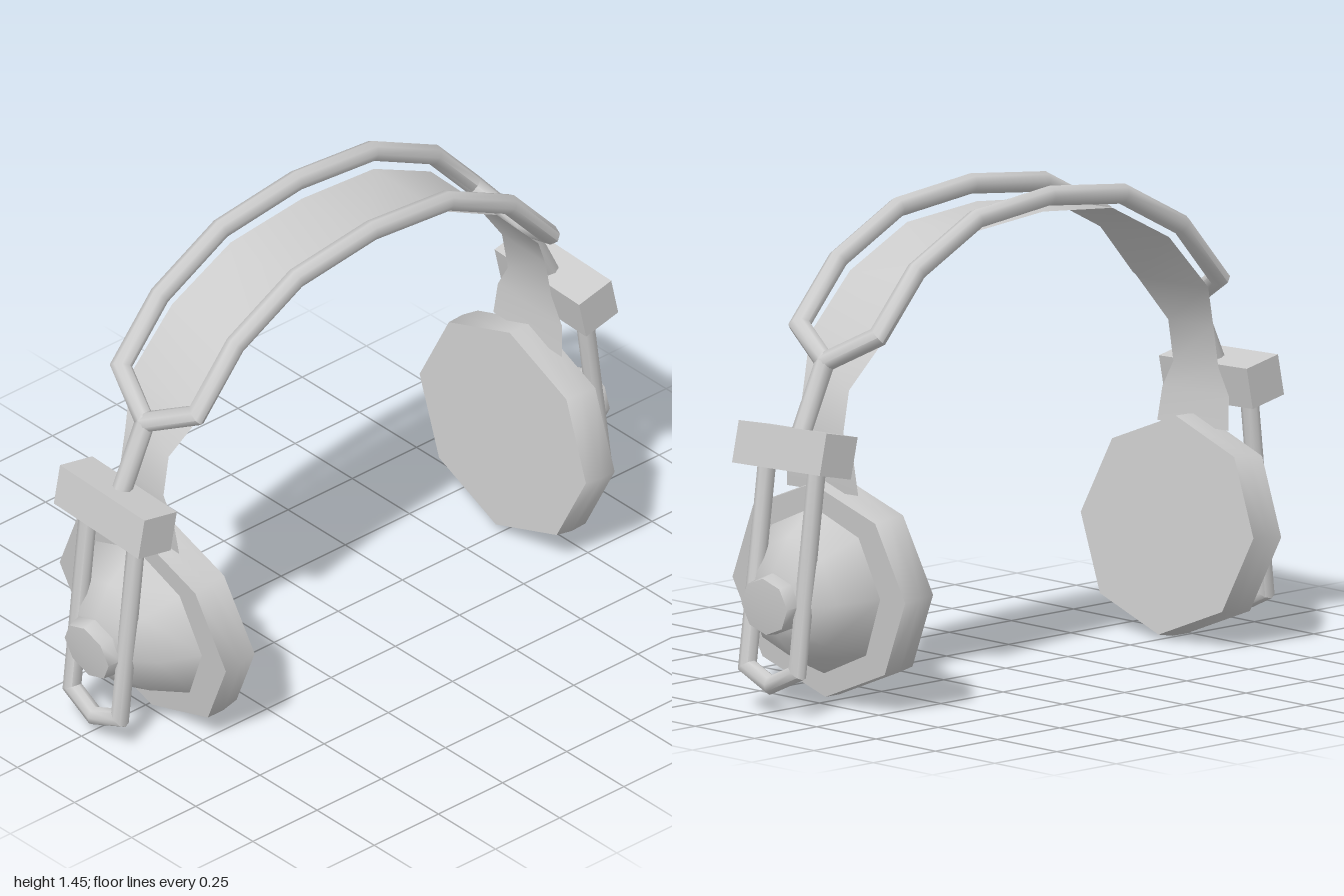
import * as THREE from 'three';
import { toCreasedNormals } from 'three/addons/utils/BufferGeometryUtils.js';

const material = new THREE.MeshStandardMaterial({ color: 0xcccccc });
const sheetMaterial = new THREE.MeshStandardMaterial({ color: 0xcccccc, side: THREE.DoubleSide });
const V = (x, y, z) => new THREE.Vector3(x, y, z);

function part(name, geometry, mat = material) {
  const mesh = new THREE.Mesh(geometry, mat);
  mesh.name = name;
  return mesh;
}

function surface(positions, index) {
  const g = new THREE.BufferGeometry();
  g.setAttribute('position', new THREE.Float32BufferAttribute(positions, 3));
  g.setIndex(index);
  g.computeVertexNormals();
  return g;
}

// Round rod along straight segments, with mitred corners and closed ends
function rod(points, radius, sides = 8) {
  const dirs = points.slice(1).map((p, i) => p.clone().sub(points[i]).normalize());
  const ref = Math.abs(dirs[0].z) > 0.9 ? V(1, 0, 0) : V(0, 0, 1);
  const u = ref.cross(dirs[0]).normalize();
  const v = dirs[0].clone().cross(u);
  const offsets = [];
  for (let j = 0; j < sides; j++) {
    const a = (j / sides) * Math.PI * 2;
    offsets.push(u.clone().multiplyScalar(Math.cos(a) * radius).addScaledVector(v, Math.sin(a) * radius));
  }
  const pos = [], idx = [];
  points.forEach((p, i) => {
    const d = dirs[Math.max(i - 1, 0)];
    const t = d.clone().add(dirs[Math.min(i, dirs.length - 1)]).normalize();
    for (const o of offsets) {
      o.addScaledVector(d, -o.dot(t) / d.dot(t));
      pos.push(p.x + o.x, p.y + o.y, p.z + o.z);
    }
    if (i === 0) return;
    for (let j = 0; j < sides; j++) {
      const k = (j + 1) % sides, a = (i - 1) * sides, b = i * sides;
      idx.push(a + j, a + k, b + j, a + k, b + k, b + j);
    }
  });
  const last = (points.length - 1) * sides;
  for (let j = 1; j < sides - 1; j++) idx.push(0, j + 1, j, last, last + j, last + j + 1);
  return toCreasedNormals(surface(pos, idx), 1);
}

// Eight-sided turned form whose axis points along +x; profile is [radius, axial]
function turned(profile, zScale) {
  const g = new THREE.LatheGeometry(profile.map(([r, a]) => new THREE.Vector2(r, a)), 8);
  g.rotateZ(-Math.PI / 2);
  g.scale(1, 1, zScale);
  return toCreasedNormals(g, 0.9);
}

// Flexible inner band: half of its path as [x, y, half width], mirrored
function strapGeometry() {
  const half = [
    [0.755, 0.63, 0.15], [0.765, 0.73, 0.14], [0.765, 0.81, 0.095], [0.743, 0.935, 0.095],
    [0.667, 1.067, 0.15], [0.51, 1.235, 0.145], [0.283, 1.35, 0.14],
  ];
  const path = [...half, [0, 1.375, 0.14], ...half.map(([x, y, w]) => [-x, y, w]).reverse()];
  const pos = [], idx = [];
  path.forEach(([x, y, w], i) => {
    pos.push(x, y, w, x, y, -w);
    if (i) idx.push(2 * i - 2, 2 * i - 1, 2 * i, 2 * i - 1, 2 * i + 1, 2 * i);
  });
  return surface(pos, idx);
}

// One side: ear cup, slider block, yoke and fork stem (built at +x)
function earpiece(name) {
  const side = new THREE.Group();
  side.name = name;

  const cup = new THREE.Group();
  cup.name = 'earCup';
  cup.position.set(0.71, 0.342, 0);
  cup.rotation.z = -0.097;
  cup.add(
    part('cushion', turned([[0, -0.057], [0.322, -0.057], [0.327, 0], [0.322, 0.057], [0, 0.057]], 1.13)),
    part('shell', turned([[0.255, 0.05], [0.185, 0.168], [0.1, 0.235], [0, 0.235]], 1.03)),
    part('pivotKnob', turned([[0, 0.21], [0.085, 0.215], [0.092, 0.24], [0.085, 0.28], [0, 0.288]], 1.13)),
  );

  const block = part('sliderBlock', new THREE.BoxGeometry(0.13, 0.125, 0.37));
  block.position.set(0.87, 0.765, 0);
  block.rotation.z = 0.21;

  const yoke = part('yoke', rod([
    V(0.88, 0.73, 0.105), V(0.954, 0.125, 0.105), V(0.96, 0.08, 0),
    V(0.954, 0.125, -0.105), V(0.88, 0.73, -0.105),
  ], 0.027));

  const stem = part('forkStem', rod([V(0.855, 0.79, 0), V(0.75, 1.01, 0)], 0.03));
  const joint = part('forkJoint', new THREE.SphereGeometry(0.031, 8, 6));
  joint.position.set(0.75, 1.01, 0);

  side.add(cup, block, yoke, stem, joint);
  return side;
}

export function createModel() {
  const model = new THREE.Group();
  model.name = 'headphones';
  const body = new THREE.Group();
  body.name = 'headphoneBody';
  model.add(body);

  // Left and right sides
  const right = earpiece('rightSide');
  right.scale.x = -1;
  body.add(earpiece('leftSide'), right);

  // Twin headband rods
  const half = [[0.75, 1.01, 0], [0.695, 1.095, 1], [0.54, 1.27, 1], [0.298, 1.393, 1]];
  const arch = [...half, [0, 1.425, 1], ...half.map(([x, y, s]) => [-x, y, s]).reverse()];
  for (const [name, z] of [['frontRod', 0.165], ['backRod', -0.165]]) {
    body.add(part(name, rod(arch.map(([x, y, s]) => V(x, y, s * z)), 0.03)));
  }

  body.add(part('headStrap', strapGeometry(), sheetMaterial));

  // Slight natural skew of the whole headset
  body.matrixAutoUpdate = false;
  body.matrix.set(
    1, -0.012, 0, 0,
    0.012, 1, -0.035, 0,
    -0.014, 0, 1, 0,
    0, 0, 0, 1,
  );
  return model;
}
